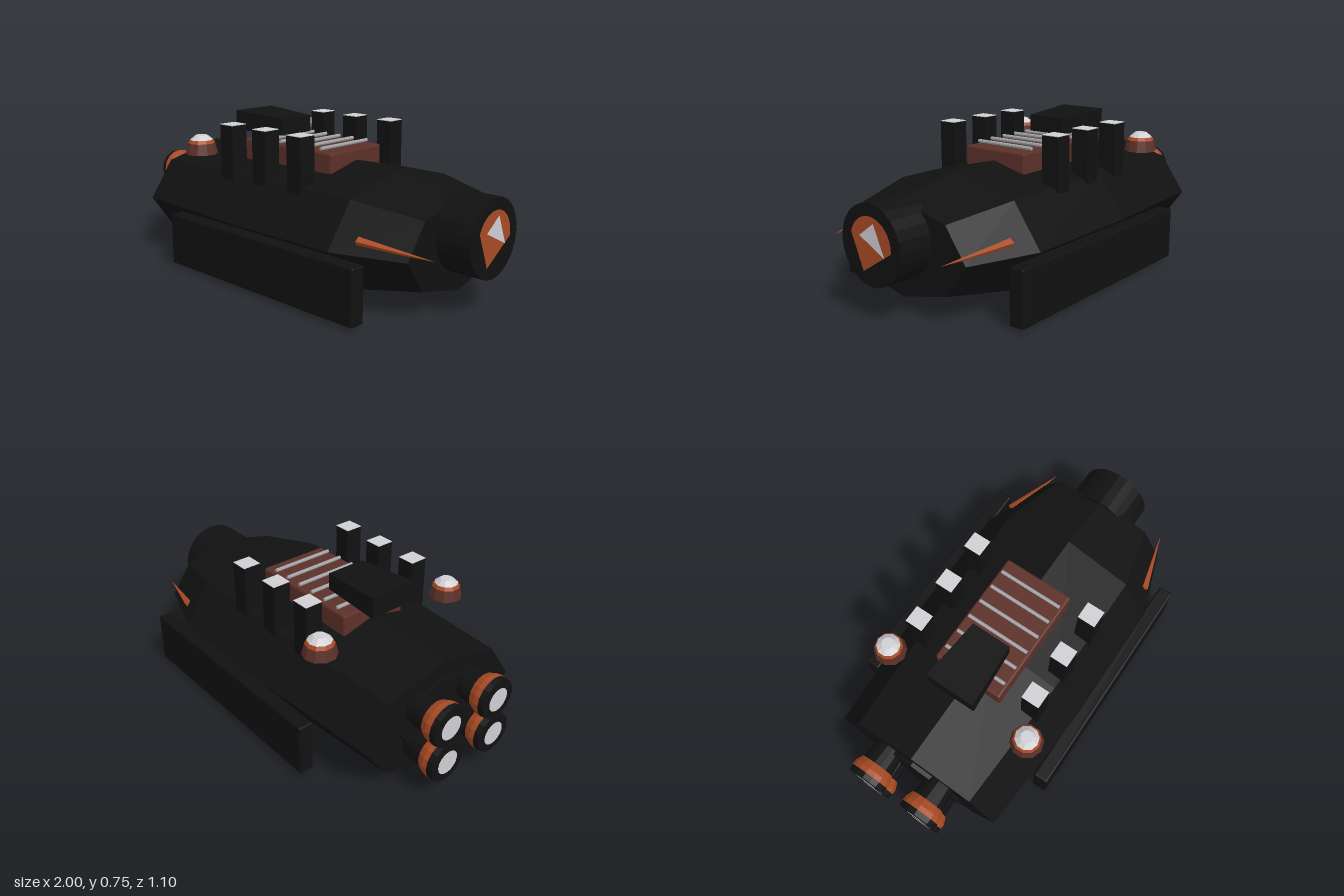
import * as THREE from 'three';
import { RoundedBoxGeometry } from 'three/addons/geometries/RoundedBoxGeometry.js';

const flat = (name, color) => {
  const m = new THREE.MeshStandardMaterial({ color });
  m.name = name;
  m.flatShading = true;
  return m;
};

export function createModel() {
  const black = flat('black hull', 0x111111);
  const orange = flat('burnt orange', 0xa84a24);
  const brown = flat('dark brown', 0x5c3028);
  const white = flat('pale grey', 0xcfcfd4);
  const steel = flat('steel', 0xa0a4a8);

  const ship = new THREE.Group();
  ship.name = 'spaceship';

  function add(name, geo, mat, x = 0, y = 0, z = 0, parent = ship) {
    const mesh = new THREE.Mesh(geo, mat);
    mesh.name = name;
    mesh.position.set(x, y, z);
    parent.add(mesh);
    return mesh;
  }

  // Solid of revolution along x from [position, radius] pairs
  function turned(profile, sides) {
    const pts = profile.map(([x, r]) => new THREE.Vector2(r, x));
    return new THREE.LatheGeometry(pts, sides).rotateZ(-Math.PI / 2);
  }

  // Eight-sided hull with a stern plate
  const hull = turned([[-0.81, 0], [-0.81, 0.92], [-0.15, 1], [0.5, 1], [0.83, 0.76], [0.83, 0]], 8);
  add('hull', hull.scale(1, 0.285, 0.49), black, 0, 0.29, 0);
  const plate = turned([[-0.83, 0], [-0.83, 1], [-0.8, 1], [-0.8, 0]], 8);
  add('sternPlate', plate.scale(1, 0.18, 0.26), black, 0, 0.295, 0);

  // Nose barrel with its painted face
  add('noseBarrel', turned([[0.8, 0], [0.8, 0.18], [0.997, 0.18], [0.997, 0]], 24), black, 0, 0.345, 0);
  const emblem = new THREE.Shape();
  emblem.moveTo(-0.05, -0.12);
  emblem.lineTo(0.125, -0.01);
  emblem.absarc(0, 0, 0.125, -0.08, 2.8, false);
  emblem.closePath();
  add('noseDisc', new THREE.ShapeGeometry(emblem, 16).rotateY(Math.PI / 2), orange, 0.9985, 0.345, 0);
  const wedge = new THREE.Shape([[-0.065, 0.035], [0.085, -0.038], [0.025, 0.098]].map(p => new THREE.Vector2(...p)));
  add('noseTriangle', new THREE.ShapeGeometry(wedge).rotateY(Math.PI / 2), white, 1, 0.345, 0);

  // Four engines
  for (const z of [-0.147, 0.147]) {
    for (const y of [0.2, 0.385]) {
      const engine = new THREE.Group();
      engine.name = 'engine';
      engine.position.set(0, y, z);
      ship.add(engine);
      add('engineNeck', turned([[-0.92, 0.085], [-0.8, 0.072]], 16), black, 0, 0, 0, engine);
      add('engineBand', turned([[-0.97, 0.1], [-0.945, 0.1], [-0.91, 0.085]], 16), orange, 0, 0, 0, engine);
      add('engineRim', turned([[-0.997, 0], [-0.997, 0.096], [-0.97, 0.1]], 16), black, 0, 0, 0, engine);
      add('engineGlow', new THREE.CircleGeometry(0.058, 16).rotateY(-Math.PI / 2), white, -1, 0, 0, engine);
    }
  }

  // Deck block with cross rods
  add('deckBlock', new RoundedBoxGeometry(0.6, 0.11, 0.36, 1, 0.01), brown, -0.067, 0.573, 0);
  for (let i = 0; i < 6; i++) {
    const rod = new THREE.CylinderGeometry(0.009, 0.009, 0.33, 8).rotateX(Math.PI / 2);
    add('deckRod', rod, steel, -0.3 + i * 0.091, 0.64, 0);
  }

  // Bridge, narrower and lower at the front
  const bridge = new THREE.BoxGeometry(0.32, 0.1, 0.25);
  const p = bridge.attributes.position;
  for (let i = 0; i < p.count; i++) {
    if (p.getX(i) < 0) continue;
    p.setZ(i, p.getZ(i) * 0.8);
    if (p.getY(i) > 0) p.setY(i, p.getY(i) - 0.017);
  }
  add('bridge', bridge, black, -0.328, 0.705, 0);

  // Paired parts
  for (const side of [-1, 1]) {
    // Chimney posts with pale caps
    for (const x of [-0.285, -0.055, 0.175]) {
      add('post', new THREE.BoxGeometry(0.088, 0.265, 0.09), black, x, 0.592, side * 0.32);
      add('postCap', new THREE.BoxGeometry(0.088, 0.003, 0.09), white, x, 0.7265, side * 0.32);
    }

    // Domed turrets
    const turret = new THREE.Group();
    turret.name = 'turret';
    turret.position.set(-0.45, 0, side * 0.388);
    ship.add(turret);
    add('turretBase', new THREE.CylinderGeometry(0.067, 0.08, 0.054, 10), brown, 0, 0.597, 0, turret);
    add('turretBand', new THREE.CylinderGeometry(0.057, 0.067, 0.016, 10), orange, 0, 0.632, 0, turret);
    add('turretCap', new THREE.CylinderGeometry(0.03, 0.057, 0.022, 10), white, 0, 0.651, 0, turret);

    // Side armour
    add('sidePanel', new RoundedBoxGeometry(1.2, 0.257, 0.074, 1, 0.008), black, 0.09, 0.149, side * 0.513);

    // Bow spikes hugging the hull
    const from = new THREE.Vector3(0.6, 0.342, side * 0.415);
    const tip = new THREE.Vector3(0.93, 0.31, side * 0.33);
    const dir = tip.clone().sub(from);
    const spike = add('bowSpike', new THREE.ConeGeometry(0.022, dir.length(), 4), orange);
    spike.position.copy(from).add(tip).multiplyScalar(0.5);
    spike.quaternion.setFromUnitVectors(new THREE.Vector3(0, 1, 0), dir.normalize());
  }

  return ship;
}
